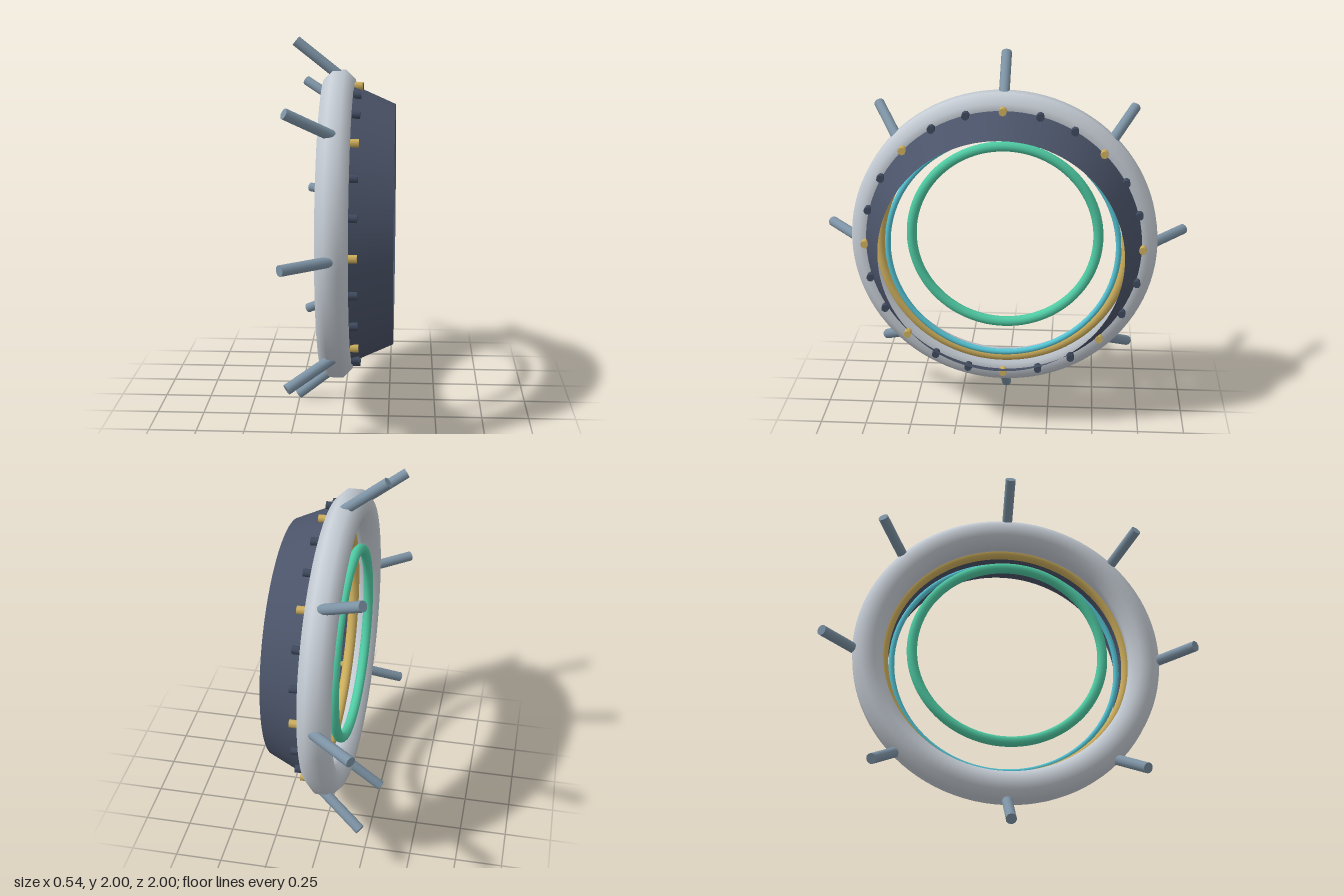
import * as THREE from 'three';

const mat = (name, color, side = THREE.FrontSide) => {
  const m = new THREE.MeshStandardMaterial({ color, side });
  m.name = name;
  return m;
};

export function createModel() {
  const silver = mat('silver', 0xc5ccd4);
  const slate = mat('slate', 0x4a5368, THREE.DoubleSide);
  const darkSteel = mat('dark steel', 0x3f4a5e);
  const blueSteel = mat('blue steel', 0x7d93a5);
  const gold = mat('gold', 0xcdae5c);
  const cyan = mat('cyan', 0x55c4d4);
  const green = mat('green', 0x4fcba3);

  // Everything is built around the local y axis, which is then laid along x
  const ring = new THREE.Group();
  ring.name = 'ringAssembly';
  ring.rotation.z = -Math.PI / 2;
  ring.position.y = 1;

  const add = (name, geometry, material) => {
    const mesh = new THREE.Mesh(geometry, material);
    mesh.name = name;
    ring.add(mesh);
    return mesh;
  };

  // Main hull: eight-sided section with flats on the outer and inner rim
  const R = 0.745, r = 0.087, hullY = -0.027;
  const section = [];
  const inner = new THREE.Vector2(R - r * Math.cos(Math.PI / 8), hullY);
  section.push(inner.clone());
  for (let i = 0; i < 8; i++) {
    const a = -Math.PI + Math.PI / 8 + (i * Math.PI) / 4;
    section.push(new THREE.Vector2(R + r * Math.cos(a), hullY + r * Math.sin(a)));
  }
  section.push(inner.clone());
  add('mainHull', new THREE.LatheGeometry(section, 96), silver);

  // Open tapering collar
  add('collar', new THREE.CylinderGeometry(0.645, 0.747, 0.231, 96, 1, true), slate)
    .position.y = 0.1555;

  // Thin inner rings: [name, radius, tube, offset along axis, material]
  for (const [name, radius, tube, y, material] of [
    ['goldTrimRing', 0.665, 0.03, 0.03, gold],
    ['cyanLightRing', 0.617, 0.0155, 0.09, cyan],
    ['greenFloatingRing', 0.511, 0.0275, -0.08, green],
  ]) {
    const g = new THREE.TorusGeometry(radius, tube, 12, 96).rotateX(Math.PI / 2);
    add(name, g, material).position.y = y;
  }

  // Studs round the collar base, every third one gold
  const studGeo = new THREE.CylinderGeometry(0.021, 0.021, 0.042, 8);
  for (let i = 0; i < 24; i++) {
    const a = (i / 24) * Math.PI * 2;
    const stud = add('stud', studGeo, i % 3 ? darkSteel : gold);
    stud.position.set(0.745 * Math.cos(a), 0.076, 0.745 * Math.sin(a));
    stud.rotation.y = -a;
  }

  // Swept-back rods, radiating from the hull
  const rodGeo = new THREE.CylinderGeometry(0.028, 0.028, 0.3, 12);
  const up = new THREE.Vector3(0, 1, 0);
  for (let i = 0; i < 8; i++) {
    const a = (i * Math.PI) / 4;
    const at = (radius, y) => new THREE.Vector3(radius * Math.cos(a), y, radius * Math.sin(a));
    const tip = at(0.98, -0.254), root = at(0.794, -0.019);
    const rod = add('rod', rodGeo, blueSteel);
    rod.position.copy(tip).add(root).multiplyScalar(0.5);
    rod.quaternion.setFromUnitVectors(up, tip.sub(root).normalize());
  }

  const model = new THREE.Group();
  model.name = 'ringStructure';
  model.add(ring);
  return model;
}
